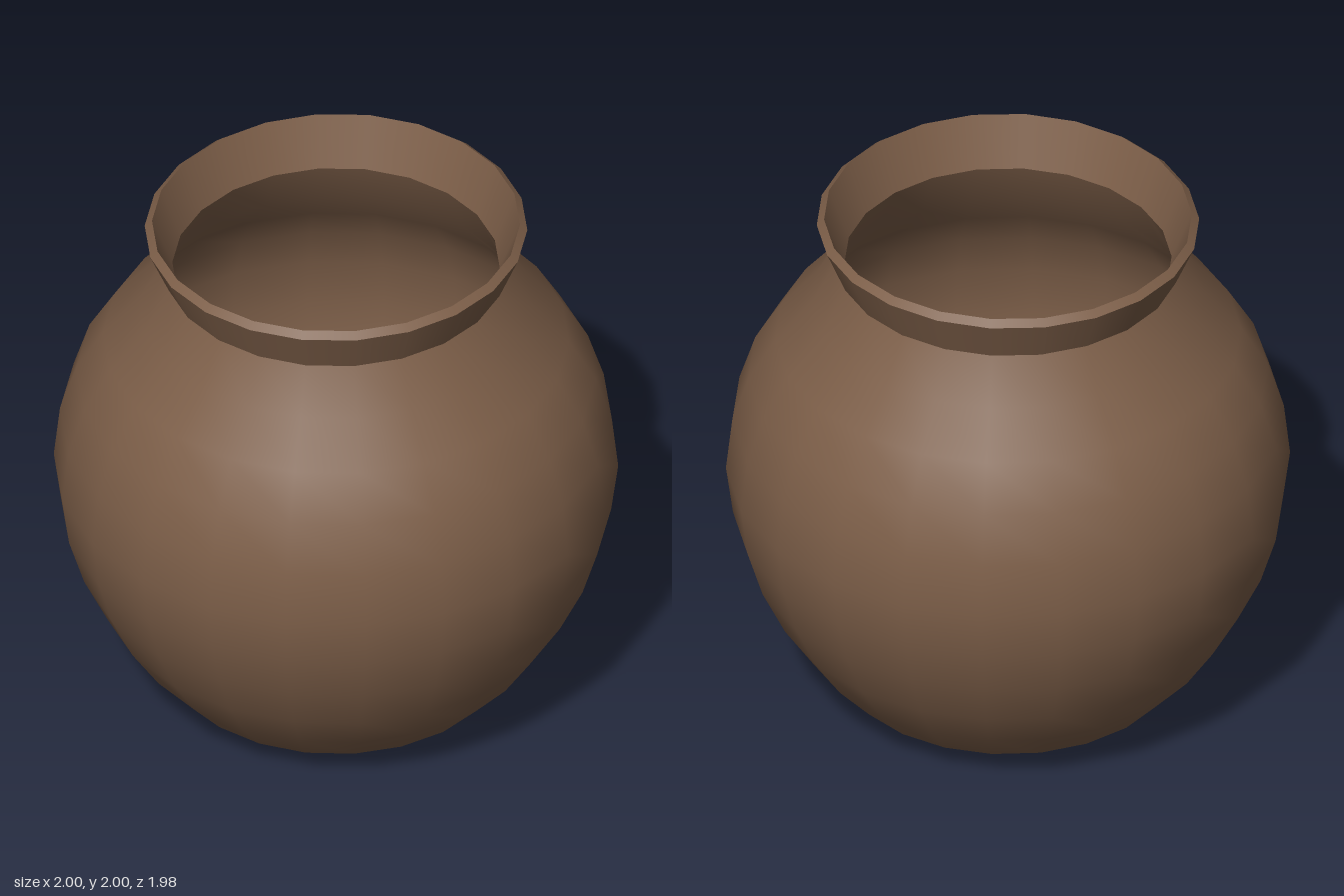
import * as THREE from 'three';

const SIDES = 22;

// The neck leans very slightly: height rises towards +x and -z.
function tilt(geometry) {
  const p = geometry.attributes.position;
  for (let i = 0; i < p.count; i++) {
    const y = p.getY(i);
    const amount = THREE.MathUtils.clamp((y - 1.6) / 0.4, 0, 1) * 0.01;
    p.setY(i, y + amount * (p.getX(i) - p.getZ(i)));
  }
  return geometry;
}

export function createModel() {
  const pot = new THREE.Group();
  pot.name = 'pot';
  const clay = new THREE.MeshStandardMaterial({ color: 0x7c5e48 });
  clay.name = 'brown clay';

  // Each part is a smooth band; separate bands keep the edges between them sharp.
  function band(name, profile) {
    const points = profile.map(([r, y]) => new THREE.Vector2(r, y));
    const mesh = new THREE.Mesh(tilt(new THREE.LatheGeometry(points, SIDES, Math.PI / 2)), clay);
    mesh.name = name;
    pot.add(mesh);
  }

  // Outside, from the base up to the neck
  band('body', [
    [0, 0], [0.43, 0], [0.605, 0.1], [0.73, 0.24], [0.835, 0.4], [0.92, 0.58],
    [0.975, 0.76], [1, 0.95], [0.978, 1.15], [0.92, 1.33], [0.825, 1.49],
    [0.7, 1.64], [0.61, 1.805],
  ]);
  band('neck', [[0.61, 1.805], [0.678, 1.967]]);
  band('lip', [[0.678, 1.967], [0.652, 1.99]]);

  // Inside, from the lip down to the floor
  band('innerNeck', [[0.652, 1.99], [0.58, 1.805]]);
  band('innerWall', [
    [0.58, 1.805], [0.66, 1.62], [0.785, 1.46], [0.875, 1.31], [0.93, 1.14],
    [0.95, 0.95], [0.927, 0.77], [0.873, 0.6], [0.79, 0.425], [0.69, 0.27],
    [0.575, 0.14], [0.51, 0.08],
  ]);
  band('innerFloor', [[0.51, 0.08], [0, 0.08]]);

  return pot;
}
